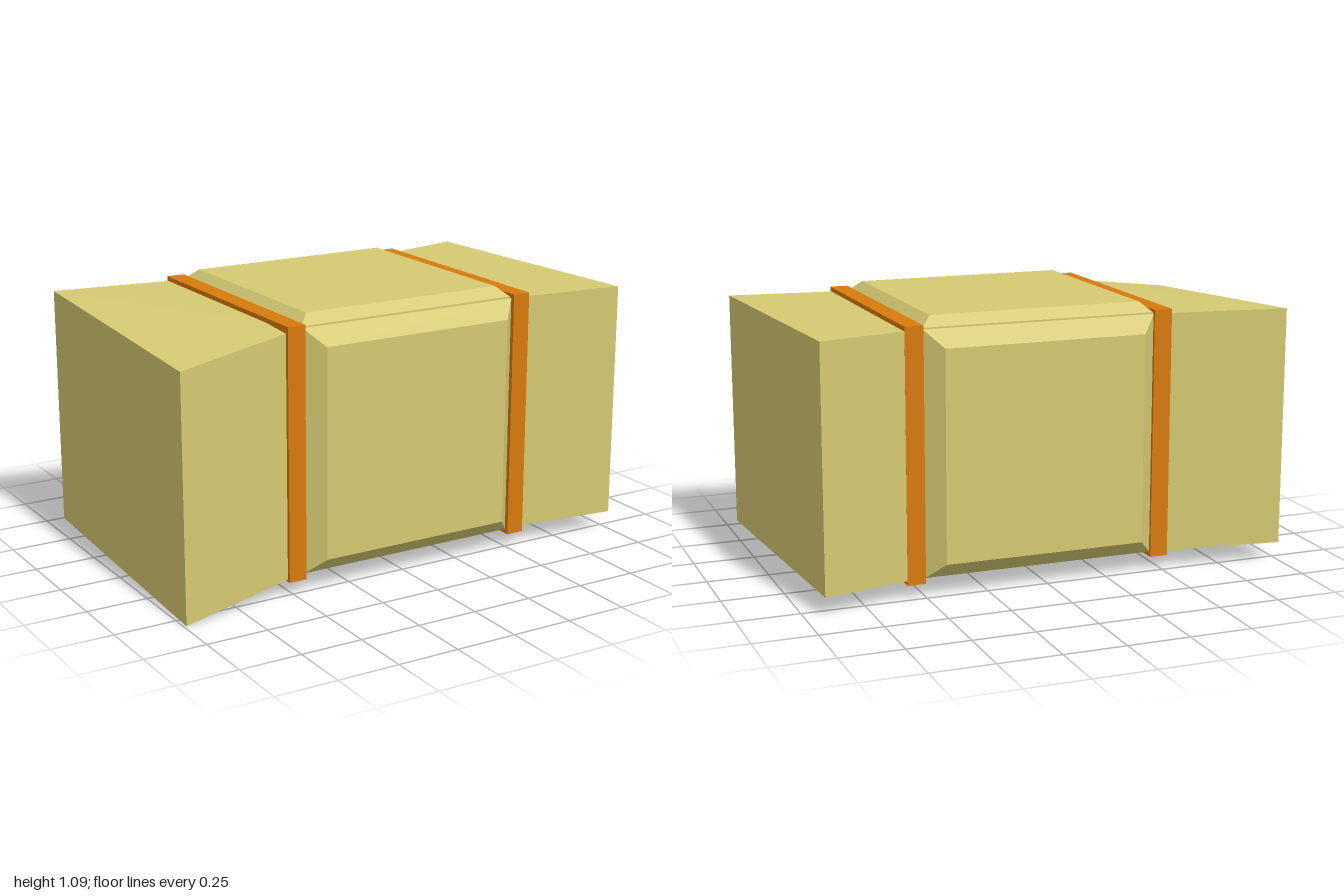
import * as THREE from 'three';

const card = new THREE.MeshStandardMaterial({ color: 0xd4c972, flatShading: true });
const band = new THREE.MeshStandardMaterial({ color: 0xd87a0b, flatShading: true });

// Six-sided solid between quads a and b (both counter-clockwise seen from b's side)
function loft(name, a, b, material) {
  const pos = [];
  const quad = (p, q, r, s) => pos.push(...p, ...q, ...r, ...p, ...r, ...s);
  quad(...b);
  quad(a[3], a[2], a[1], a[0]);
  for (let i = 0; i < 4; i++) {
    const j = (i + 1) % 4;
    quad(a[i], a[j], b[j], b[i]);
  }
  const g = new THREE.BufferGeometry();
  g.setAttribute('position', new THREE.Float32BufferAttribute(pos, 3));
  g.computeVertexNormals();
  const mesh = new THREE.Mesh(g, material);
  mesh.name = name;
  return mesh;
}

function box(name, x0, x1, y0, y1, z0, z1, material) {
  const mesh = new THREE.Mesh(new THREE.BoxGeometry(x1 - x0, y1 - y0, z1 - z0), material);
  mesh.position.set((x0 + x1) / 2, (y0 + y1) / 2, (z0 + z1) / 2);
  mesh.name = name;
  return mesh;
}

// Extents of the central body
const X0 = -0.45, X1 = 0.5, Y0 = 0.075, Y1 = 1.045, Z0 = -0.475, Z1 = 0.49;

// Rectangles inset by d, counter-clockwise seen from +z, +y and +x
const rectZ = (z, d) => [[X0 + d, Y0 + d, z], [X1 - d, Y0 + d, z], [X1 - d, Y1 - d, z], [X0 + d, Y1 - d, z]];
const rectY = (y, d) => [[X0 + d, y, Z0 + d], [X0 + d, y, Z1 - d], [X1 - d, y, Z1 - d], [X1 - d, y, Z0 + d]];
const rectX = (x) => [[x, Y0, Z0], [x, Y1, Z0], [x, Y1, Z1], [x, Y0, Z1]];
const flip = (q) => [...q].reverse();

export function createModel() {
  const group = new THREE.Group();
  group.name = 'strappedPackage';

  // Central body
  group.add(box('body', X0, X1, Y0, Y1, Z0, Z1, card));

  // Bevelled panels on the front, back and top
  group.add(loft('frontPanel', rectZ(0.5, 0), rectZ(0.566, 0.065), card));
  group.add(loft('backPanel', flip(rectZ(-0.48, 0)), flip(rectZ(-0.546, 0.065)), card));
  group.add(loft('topPanel', rectY(1.051, 0), rectY(1.09, 0.043), card));

  // Thin backings that join the panels to the body
  group.add(box('frontBacking', X0, X1, Y0, Y1, Z1 - 0.01, 0.5, card));
  group.add(box('backBacking', X0, X1, Y0, Y1, -0.48, Z0 + 0.01, card));
  group.add(box('topBacking', X0, X1, Y1 - 0.01, 1.051, Z0, Z1, card));

  // Flared, slightly skewed ends
  group.add(loft('leftEnd', rectX(X1),
    [[0.923, Y0, -0.57], [0.923, Y1, -0.57], [1, Y1, 0.55], [1, Y0, 0.55]], card));
  group.add(loft('rightEnd', flip(rectX(X0)),
    flip([[-1, Y0, -0.553], [-1, Y1, -0.553], [-0.99, 0.972, 0.567], [-0.99, 0, 0.567]]), card));

  // Straps around both joints
  for (const [name, x] of [['rightStrap', -0.523], ['leftStrap', 0.502]])
    group.add(box(name, x, x + 0.074, 0.056, 1.063, -0.493, 0.515, band));

  return group;
}
